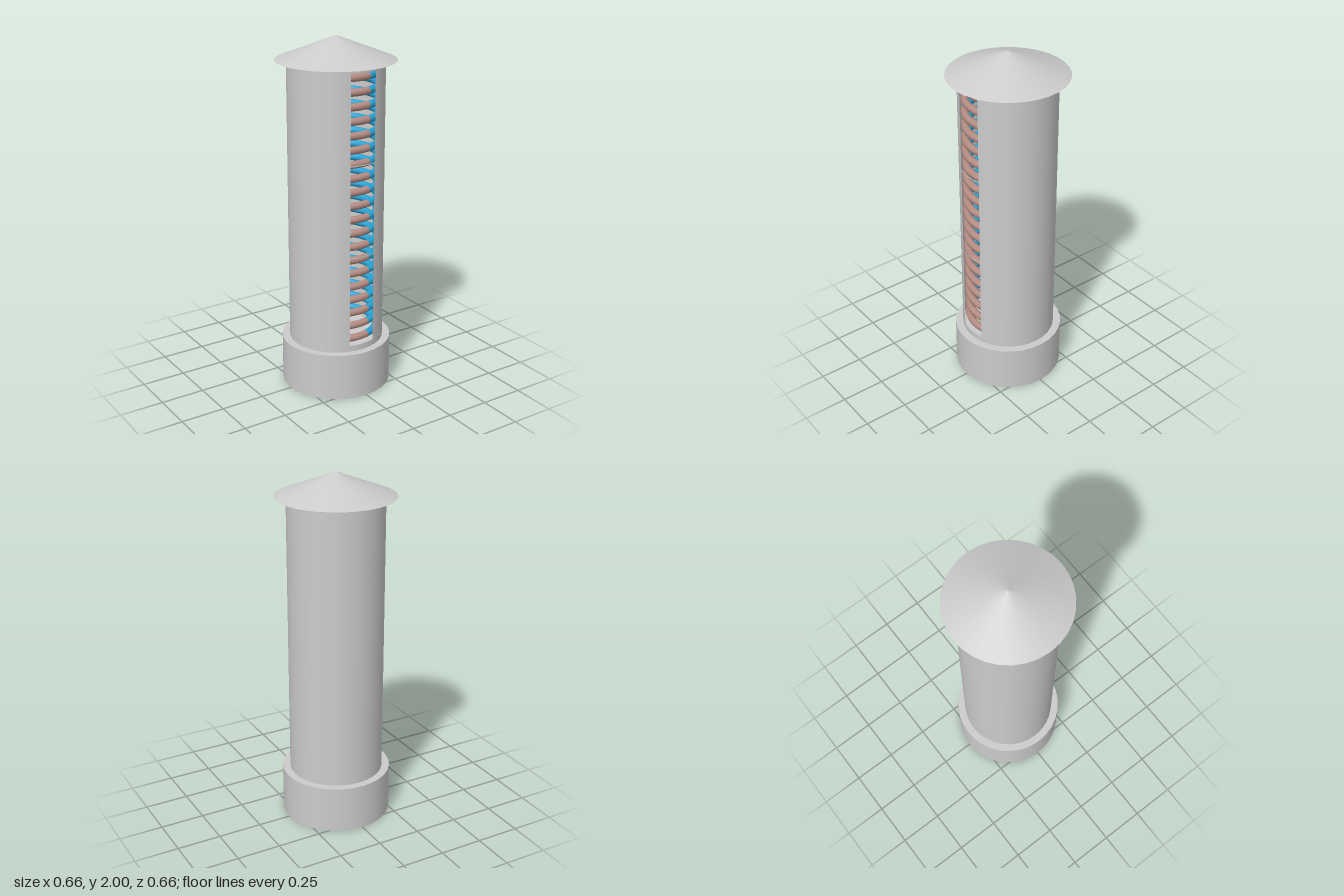
import * as THREE from 'three';

const R = 0.267;                      // tower radius
const SLOT = Math.asin(0.078 / R);    // half angle of the front slot
const grey = new THREE.MeshStandardMaterial({ color: 0xcccccc, side: THREE.DoubleSide });
const copper = new THREE.MeshStandardMaterial({ color: 0xb58d84 });
const blue = new THREE.MeshStandardMaterial({ color: 0x2ba3d4 });
const darkBlue = new THREE.MeshStandardMaterial({ color: 0x3a607c });

export function createModel() {
  const model = new THREE.Group();

  const add = (name, geometry, material, y = 0, parent = model) => {
    const mesh = new THREE.Mesh(geometry, material);
    mesh.name = name;
    mesh.position.y = y;
    parent.add(mesh);
    return mesh;
  };

  // Open shell of the tower between two heights, angles measured from +z
  const shell = (name, y0, y1, start = 0, length = Math.PI * 2, segments = 32) =>
    add(name, new THREE.CylinderGeometry(R, R, y1 - y0, segments, 1, true, start, length), grey, (y0 + y1) / 2);

  // Base: skirt open below, closed by a flat top
  add('baseWall', new THREE.CylinderGeometry(0.31, 0.31, 0.27, 32, 1, true), grey, 0.135);
  add('baseTop', new THREE.CircleGeometry(0.31, 32).rotateX(-Math.PI / 2), grey, 0.27);

  // Tower with a tall slot at the front
  shell('towerFoot', 0.27, 0.305);
  shell('towerWall', 0.305, 1.845, SLOT, Math.PI * 2 - 2 * SLOT);
  shell('towerCollar', 1.845, 1.87);
  for (const y of [0.828, 1.348]) shell('slotBridge', y - 0.003, y + 0.003, -SLOT, 2 * SLOT, 4);

  // Conical roof
  add('roof', new THREE.ConeGeometry(0.33, 0.13, 32), grey, 1.935);

  // Stack of rings: copper front arc, blue remainder, a bead on the central rod
  const frontArc = 1.0, frontEnd = 0.235;   // arc length, and its end towards +x
  const arc = (start, length, segments) =>
    new THREE.TorusGeometry(0.229, 0.021, 10, segments, length)
      .rotateZ(start).rotateX(Math.PI / 2);
  const copperArc = arc(Math.PI / 2 - frontEnd, frontArc, 14);
  const blueArc = arc(Math.PI / 2 - frontEnd + frontArc, Math.PI * 2 - frontArc, 40);
  const bead = new THREE.SphereGeometry(0.021, 12, 8);

  const stack = new THREE.Group();
  stack.name = 'ringStack';
  model.add(stack);
  for (let i = 0; i < 20; i++) {
    const y = 0.335 + i * 0.0779;
    add('ringFront', copperArc, copper, y, stack);
    add('ringBack', blueArc, blue, y, stack);
    if (i > 0) add('bead', bead, darkBlue, y - 0.031, stack);
  }
  add('centralRod', new THREE.CylinderGeometry(0.004, 0.004, 1.57, 8), darkBlue, 1.065, stack);

  return model;
}
